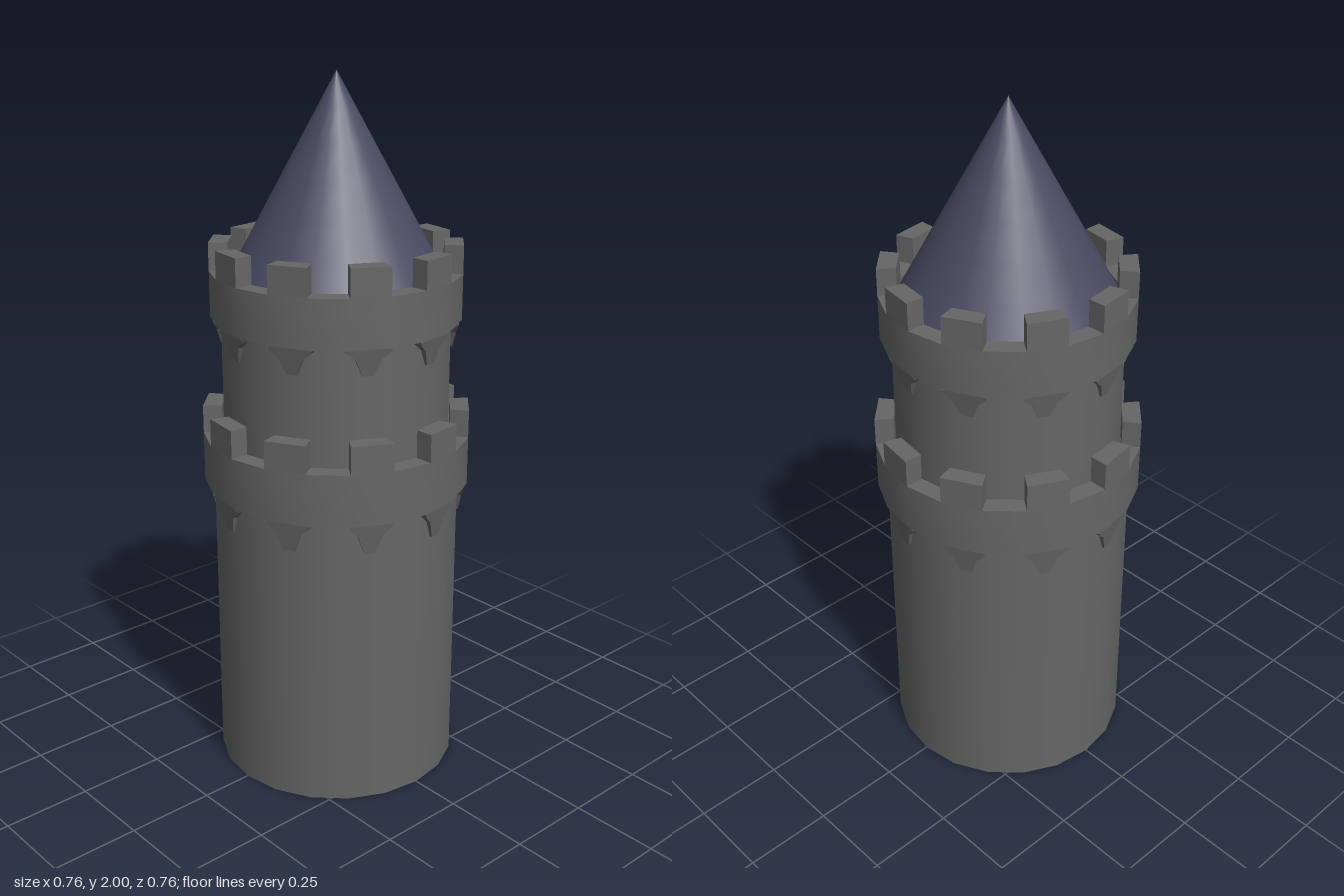
import * as THREE from 'three';
import { toCreasedNormals } from 'three/addons/utils/BufferGeometryUtils.js';

const SIDES = 20;
const STEP = (Math.PI * 2) / SIDES;
const stone = new THREE.MeshStandardMaterial({ color: 0x666666 });
const slate = new THREE.MeshStandardMaterial({ color: 0x4a4a63 });

function add(parent, name, geometry, material = stone) {
  const mesh = new THREE.Mesh(geometry, material);
  mesh.name = name;
  parent.add(mesh);
  return mesh;
}

function drum(radius, y0, y1) {
  return new THREE.CylinderGeometry(radius, radius, y1 - y0, SIDES).translate(0, (y0 + y1) / 2, 0);
}

// Closed ring with a rectangular section
function ring(ri, ro, y0, y1) {
  const section = [[ri, y0], [ro, y0], [ro, y1], [ri, y1], [ri, y0]];
  const points = section.map(([r, y]) => new THREE.Vector2(r, y));
  return toCreasedNormals(new THREE.LatheGeometry(points, SIDES), 0.6);
}

// Box bent onto one side of the ring
function merlonGeometry(ri, ro, y0, y1) {
  const g = new THREE.BoxGeometry(1, 1, 1);
  const p = g.attributes.position;
  for (let i = 0; i < p.count; i++) {
    const a = (p.getX(i) + 0.5) * STEP;
    const r = p.getZ(i) > 0 ? ro : ri;
    p.setXYZ(i, Math.sin(a) * r, p.getY(i) > 0 ? y1 : y0, Math.cos(a) * r);
  }
  g.computeVertexNormals();
  return g;
}

// Flared bracket: wide and deep at the top, narrow and shallow at the bottom
function corbelGeometry(wall, reach, top, height) {
  const half = [[0.065, 0], [0.058, 0.14], [0.034, 0.4], [0.016, 1]];
  const outline = [...half.map(([x, t]) => [-x, t]), ...half.reverse().map(([x, t]) => [x, t])];
  const shape = new THREE.Shape(outline.map(([x, t]) => new THREE.Vector2(x, -t * height)));
  const g = new THREE.ExtrudeGeometry(shape, { depth: 1, bevelEnabled: false });
  const p = g.attributes.position;
  for (let i = 0; i < p.count; i++) {
    const t = -p.getY(i) / height;
    const front = THREE.MathUtils.lerp(reach, wall + 0.006, t);
    p.setXYZ(i, p.getX(i), top + p.getY(i), p.getZ(i) > 0.5 ? front : wall - 0.02);
  }
  g.computeVertexNormals();
  return g;
}

// Overhanging parapet: ring wall, ten merlons, thin band and ten corbels
function parapet(name, { wall, inner, outer, bottom, floor, top, drop }) {
  const group = new THREE.Group();
  group.name = name;
  const bandBottom = bottom - 0.012;
  add(group, 'parapetWall', ring(inner, outer, bottom, floor));
  add(group, 'corbelBand', ring(wall - 0.02, outer - 0.008, bandBottom, bottom));
  const merlon = merlonGeometry(inner, outer, floor, top);
  const apothem = Math.cos(STEP / 2);
  const corbel = corbelGeometry(wall * apothem, (outer - 0.008) * apothem, bandBottom, drop);
  for (let i = 0; i < SIDES; i += 2) {
    add(group, 'merlon', merlon).rotation.y = i * STEP;
    add(group, 'corbel', corbel).rotation.y = (i + 0.5) * STEP;
  }
  return group;
}

export function createModel() {
  const tower = new THREE.Group();
  tower.name = 'tower';

  add(tower, 'lowerShaft', drum(0.35, 0, 0.99));
  add(tower, 'upperShaft', drum(0.32, 0.95, 1.455));

  tower.add(parapet('lowerParapet', {
    wall: 0.35, inner: 0.325, outer: 0.378, bottom: 0.865, floor: 1.004, top: 1.083, drop: 0.085,
  }));
  tower.add(parapet('upperParapet', {
    wall: 0.32, inner: 0.297, outer: 0.35, bottom: 1.343, floor: 1.47, top: 1.548, drop: 0.075,
  }));

  // Conical roof
  const roofBase = 1.458;
  add(tower, 'roof',
    new THREE.ConeGeometry(0.298, 2 - roofBase, SIDES, 6).translate(0, (2 + roofBase) / 2, 0), slate);

  return tower;
}
